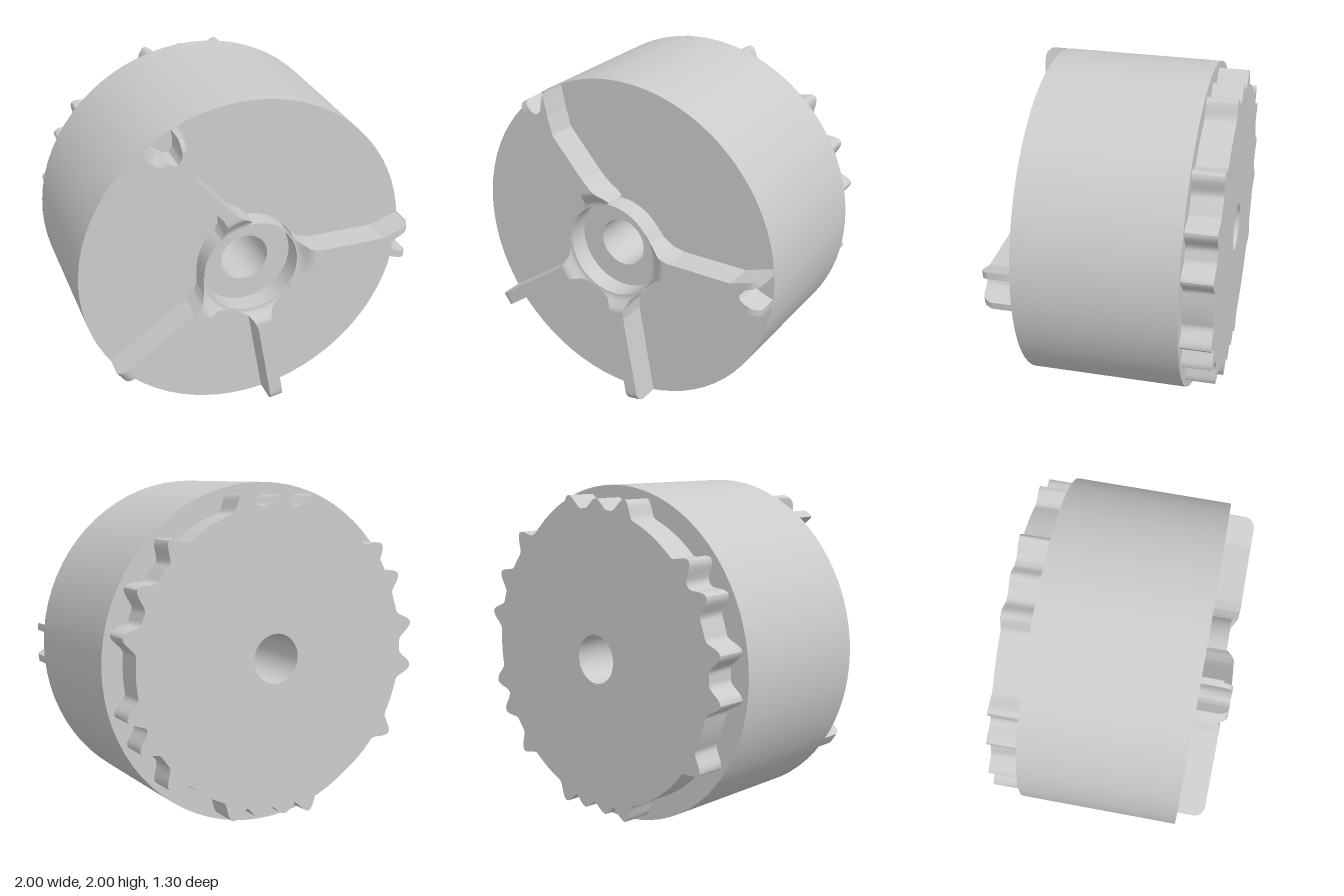
import * as THREE from 'three';
import { toCreasedNormals } from 'three/addons/utils/BufferGeometryUtils.js';

const FACE = 0.475, BACK = -0.47, TOP = 0.65, BORE = 0.145, HUB = 0.288;
const DEG = Math.PI / 180;
const grey = new THREE.MeshStandardMaterial({ color: 0xcccccc });

function addMesh(parent, geometry, name, crease = 0.6) {
  const mesh = new THREE.Mesh(toCreasedNormals(geometry, crease), grey);
  mesh.name = name;
  parent.add(mesh);
}

// Closed (radius, z) ring profile turned around the z axis
function ring(inner, outer, z0, z1) {
  const pts = [[inner, z1], [inner, z0], [outer, z0], [outer, z1], [inner, z1]];
  const g = new THREE.LatheGeometry(pts.map(p => new THREE.Vector2(...p)), 72);
  return g.rotateX(Math.PI / 2);
}

// Height of a rib: dips at the hub, rounded off at the rim
function ribTop(r) {
  const R = 0.07, d = r - (1 - R);
  if (d > 0) return TOP - R + Math.sqrt(Math.max(0, R * R - d * d));
  return 0.6 + (TOP - 0.6) * THREE.MathUtils.smoothstep(r, 0.29, 0.38);
}

// Rib lofted along a direction; each section is [distance, low side, high side]
function strip(angle, sections) {
  const c = Math.cos(angle * DEG), s = Math.sin(angle * DEG), cols = 8;
  const dense = [];
  sections.forEach((a, i) => {
    const b = sections[i + 1];
    if (!b) return dense.push(a);
    const n = Math.max(1, Math.ceil((b[0] - a[0]) / 0.012));
    for (let k = 0; k < n; k++) dense.push(a.map((v, m) => v + (b[m] - v) * k / n));
  });
  const rows = dense.map(([u, lo, hi]) => Array.from({ length: cols + 1 }, (_, j) => {
    const v = lo + (hi - lo) * j / cols;
    const r = Math.hypot(u, v), q = THREE.MathUtils.clamp(r, HUB, 0.998), f = q / r;
    const x = (u * c - v * s) * f, y = (u * s + v * c) * f;
    return { t: [x, y, ribTop(q)], b: [x, y, FACE - 0.01] };
  }));
  const pos = [];
  const quad = (a, b, d, e) => pos.push(...a, ...b, ...d, ...a, ...d, ...e);
  for (let i = 0; i + 1 < rows.length; i++) {
    const p = rows[i], q = rows[i + 1];
    for (let j = 0; j < cols; j++) {
      quad(p[j].t, q[j].t, q[j + 1].t, p[j + 1].t);
      quad(p[j].b, p[j + 1].b, q[j + 1].b, q[j].b);
    }
    quad(p[0].b, q[0].b, q[0].t, p[0].t);
    quad(q[cols].b, p[cols].b, p[cols].t, q[cols].t);
  }
  const p = rows[0], q = rows[rows.length - 1];
  for (let j = 0; j < cols; j++) {
    quad(p[j].b, p[j].t, p[j + 1].t, p[j + 1].b);
    quad(q[j].b, q[j + 1].b, q[j + 1].t, q[j].t);
  }
  const g = new THREE.BufferGeometry();
  g.setAttribute('position', new THREE.Float32BufferAttribute(pos, 3));
  return g;
}

// Flared foot of a radial rib where it meets the hub
const foot = w => [[0.24, 0.18], [0.275, 0.125], [0.31, w + 0.04], [0.35, w + 0.016], [0.42, w]]
  .map(([u, h]) => [u, -h, h]);

// Toothed plate radius: wide plate with uneven round teeth
const teeth = [11, 27, 46, 77, 105, 139, 152, 171, 187, 213, 256, 287, 315, 332, 344];
const smallTeeth = [91, 266, 277];
function plateRadius(deg) {
  let r = 0.875;
  const bump = (t, h) => {
    const d = Math.abs(((deg - t + 540) % 360) - 180) / 6;
    if (d < 1) r = Math.max(r, 0.875 + h * (0.5 + 0.5 * Math.cos(Math.PI * d)));
  };
  teeth.forEach(t => bump(t, 0.09));
  smallTeeth.forEach(t => bump(t, 0.055));
  return r;
}

export function createModel() {
  const model = new THREE.Group();
  model.name = 'ribbedDrum';

  // Drum body and the thin hub wall on its front
  addMesh(model, ring(BORE, 1, BACK, FACE), 'drum');
  addMesh(model, ring(0.283, 0.294, FACE - 0.01, 0.6), 'hubWall');

  // Plain ribs
  for (const [name, angle] of [['leftRib', 215.3], ['lowerRib', 279.7]]) {
    addMesh(model, strip(angle, [...foot(0.04), [0.9, -0.04, 0.04], [1.02, -0.04, 0.04]]), name);
  }

  // Forked rib pointing sideways
  const side = new THREE.Group();
  side.name = 'sideForkedRib';
  addMesh(side, strip(0, [...foot(0.059), [0.82, -0.059, 0.059], [0.875, -0.078, 0.078]]), 'stem');
  const prong = [[0.875, 0, 0.078], [0.885, 0.025, 0.082], [0.91, 0.045, 0.09], [1.02, 0.086, 0.125]];
  addMesh(side, strip(0, prong), 'prong');
  addMesh(side, strip(0, prong.map(([u, a, b]) => [u, -b, -a])), 'prong');
  model.add(side);

  // Forked rib set off-centre
  const upper = new THREE.Group();
  upper.name = 'upperForkedRib';
  addMesh(upper, strip(131, [[0.235, -0.2, 0.12], [0.28, -0.195, 0.03], [0.31, -0.185, -0.045],
    [0.36, -0.173, -0.09], [0.42, -0.168, -0.102], [0.73, -0.168, -0.102],
    [0.83, -0.215, -0.105], [0.878, -0.243, -0.1]]), 'stem');
  addMesh(upper, strip(131, [[0.878, -0.243, -0.165], [0.886, -0.247, -0.2],
    [0.91, -0.26, -0.225], [0.96, -0.288, -0.26], [1.03, -0.322, -0.292]]), 'prong');
  addMesh(upper, strip(131, [[0.878, -0.165, -0.1], [0.886, -0.15, -0.098],
    [0.91, -0.137, -0.092], [0.99, -0.12, -0.073], [1.04, -0.11, -0.062]]), 'prong');
  model.add(upper);

  // Toothed plate on the back
  const outline = [];
  for (let d = 0; d < 360; d += 1) {
    const r = plateRadius(d);
    outline.push(new THREE.Vector2(r * Math.cos(d * DEG), r * Math.sin(d * DEG)));
  }
  const plate = new THREE.Shape(outline);
  plate.holes.push(new THREE.Path().absarc(0, 0, BORE, 0, Math.PI * 2, true));
  const plateGeo = new THREE.ExtrudeGeometry(plate, { depth: 0.18, bevelEnabled: false, curveSegments: 36 });
  addMesh(model, plateGeo.translate(0, 0, -0.65), 'toothedPlate');

  model.position.y = 1;
  return model;
}
